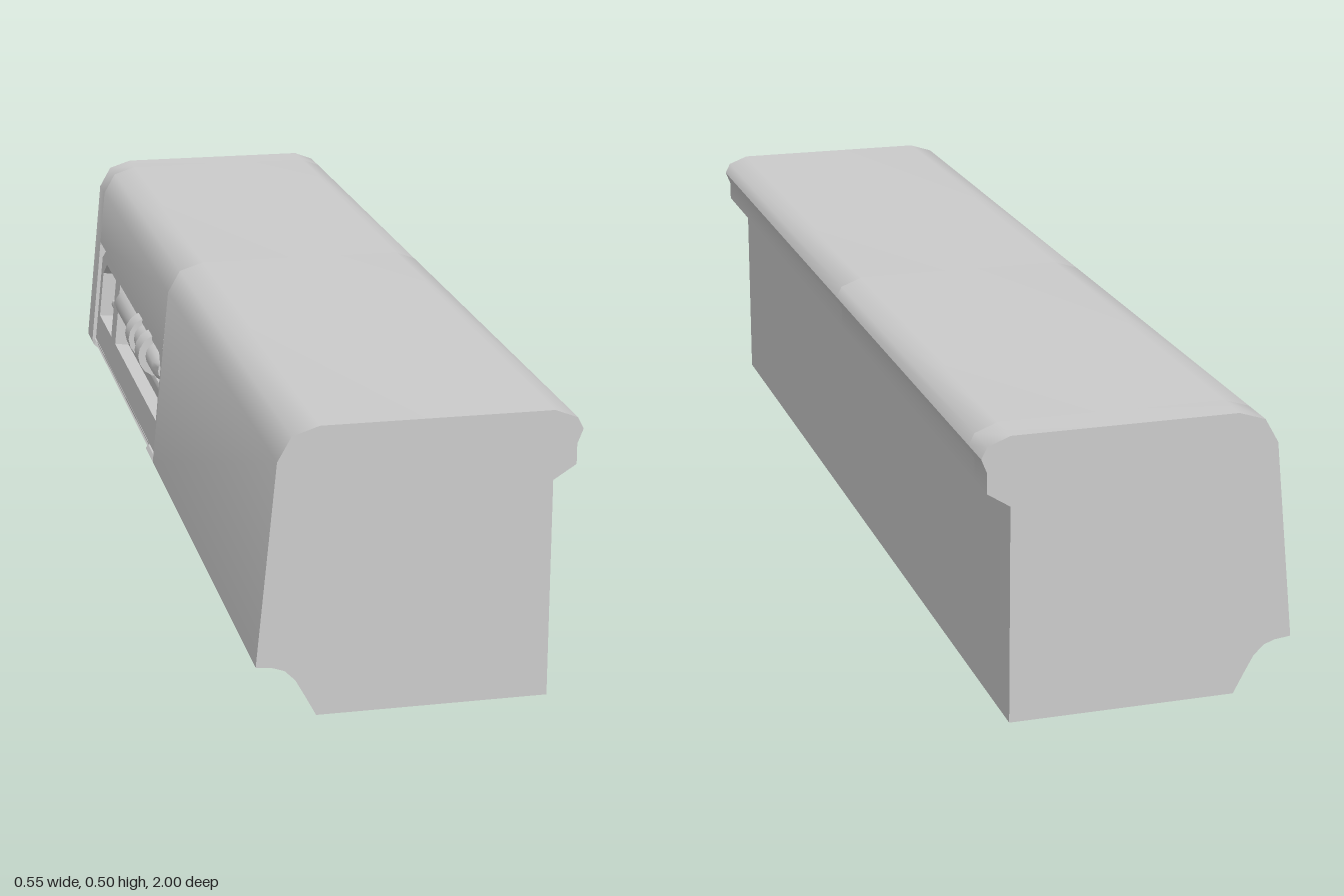
import * as THREE from 'three';
import { toCreasedNormals } from 'three/addons/utils/BufferGeometryUtils.js';

const grey = new THREE.MeshStandardMaterial({ color: 0xcccccc });

const path = (pts, Type = THREE.Shape) => new Type(pts.map(([x, y]) => new THREE.Vector2(x, y)));

function add(group, name, geometry) {
  const mesh = new THREE.Mesh(toCreasedNormals(geometry, 0.8), grey);
  mesh.name = name;
  group.add(mesh);
  return mesh;
}

// Cross-section (x, y) swept along z
function sweep(group, name, pts, z0, z1) {
  const geo = new THREE.ExtrudeGeometry(path(pts), { depth: z1 - z0, bevelEnabled: false });
  return add(group, name, geo.translate(0, 0, z0));
}

// Flat plate whose shape runs along z and up the slope (dx, dy); its outer face passes through (x, y)
function slopedPlate(group, name, outline, holes, depth, [x, y], [dx, dy]) {
  const shape = path(outline);
  shape.holes = holes.map((h) => path(h, THREE.Path));
  const geo = new THREE.ExtrudeGeometry(shape, { depth, bevelEnabled: false }).translate(0, 0, -depth);
  const along = new THREE.Vector3(0, 0, 1);
  const up = new THREE.Vector3(dx, dy, 0).normalize();
  const out = along.clone().cross(up);
  const m = new THREE.Matrix4().makeBasis(along, up, out).setPosition(x, y, 0);
  return add(group, name, geo.applyMatrix4(m));
}

export function createModel() {
  const model = new THREE.Group();
  model.name = 'housing';
  const Z0 = -0.93, Z1 = -0.05; // extent of the mechanism bay

  // Shared part of the section: base, flat side, edge rail, top, rounded shoulder
  const upper = [
    [-0.172, 0], [0.223, 0], [0.223, 0.38], [0.262, 0.405], [0.262, 0.44], [0.272, 0.465],
    [0.262, 0.485], [0.223, 0.5], [-0.167, 0.5], [-0.213, 0.485], [-0.237, 0.443],
  ];
  const groove = [[-0.273, 0.093], [-0.245, 0.09], [-0.225, 0.083], [-0.207, 0.065], [-0.19, 0.034]];
  const full = [...upper, ...groove];
  const cut = [...upper, [-0.249, 0.328], [-0.205, 0.328], [-0.205, 0.063], [-0.19, 0.034]];
  sweep(model, 'backBody', full, -1, Z0);
  sweep(model, 'bayBody', cut, Z0, Z1);
  sweep(model, 'frontBody', full, Z1, 1);

  // Window frame with clipped top corners
  slopedPlate(model, 'windowFrame',
    [[Z0, 0.005], [Z1, 0.005], [Z1, 0.2], [-0.12, 0.236], [-0.87, 0.236], [Z0, 0.2]],
    [
      [[-0.9, 0.07], [-0.72, 0.07], [-0.72, 0.2], [-0.86, 0.2], [-0.9, 0.17]],
      [[-0.66, 0.07], [-0.1, 0.07], [-0.1, 0.18], [-0.13, 0.205], [-0.66, 0.205]],
    ],
    0.03, [-0.265, 0.093], [0.036, 0.35]);

  // Shelf closing the underside of the frame
  sweep(model, 'frameShelf', [[-0.265, 0.1], [-0.2, 0.1], [-0.2, 0.07], [-0.262, 0.086]], Z0, Z1);

  // Round drum with collars behind the long window
  const drum = new THREE.Group();
  drum.name = 'drum';
  drum.position.set(-0.228, 0.263, 0);
  model.add(drum);
  const turned = [
    [0, -0.66], [0.022, -0.66], [0.032, -0.63], [0.032, -0.4], [0.045, -0.4], [0.045, -0.35],
    [0.034, -0.35], [0.034, -0.27], [0.045, -0.27], [0.045, -0.22], [0.03, -0.22],
    [0.03, -0.14], [0.022, -0.11], [0, -0.11],
  ].map(([r, z]) => new THREE.Vector2(r, z));
  add(drum, 'collaredShaft', new THREE.LatheGeometry(turned, 16).rotateX(Math.PI / 2));

  // Small rods under the drum
  for (const z of [-0.78, -0.4]) {
    const rod = new THREE.CylinderGeometry(0.012, 0.012, z < -0.6 ? 0.22 : 0.54, 8).rotateX(Math.PI / 2);
    add(model, 'guideRod', rod).position.set(-0.22, 0.19, z);
  }

  // Triangulated lattice across the lower groove
  const holes = [];
  for (let i = 0; i < 6; i++) {
    const a = -0.89 + i * 0.125;
    holes.push([[a, 0.025], [a + 0.1, 0.025], [a + 0.05, 0.1]]);
  }
  slopedPlate(model, 'lowerLattice', [[Z0, 0], [-0.12, 0], [-0.12, 0.125], [Z0, 0.125]], holes,
    0.012, [-0.174, 0.005], [-0.101, 0.093]);

  // Solid wedges at both ends of the lattice
  const wedge = [[-0.172, 0], [-0.19, 0.034], [-0.2, 0.1], [-0.268, 0.1], [-0.273, 0.093]];
  sweep(model, 'backWedge', wedge, Z0, -0.9);
  sweep(model, 'frontWedge', wedge, -0.14, Z1);

  return model;
}
